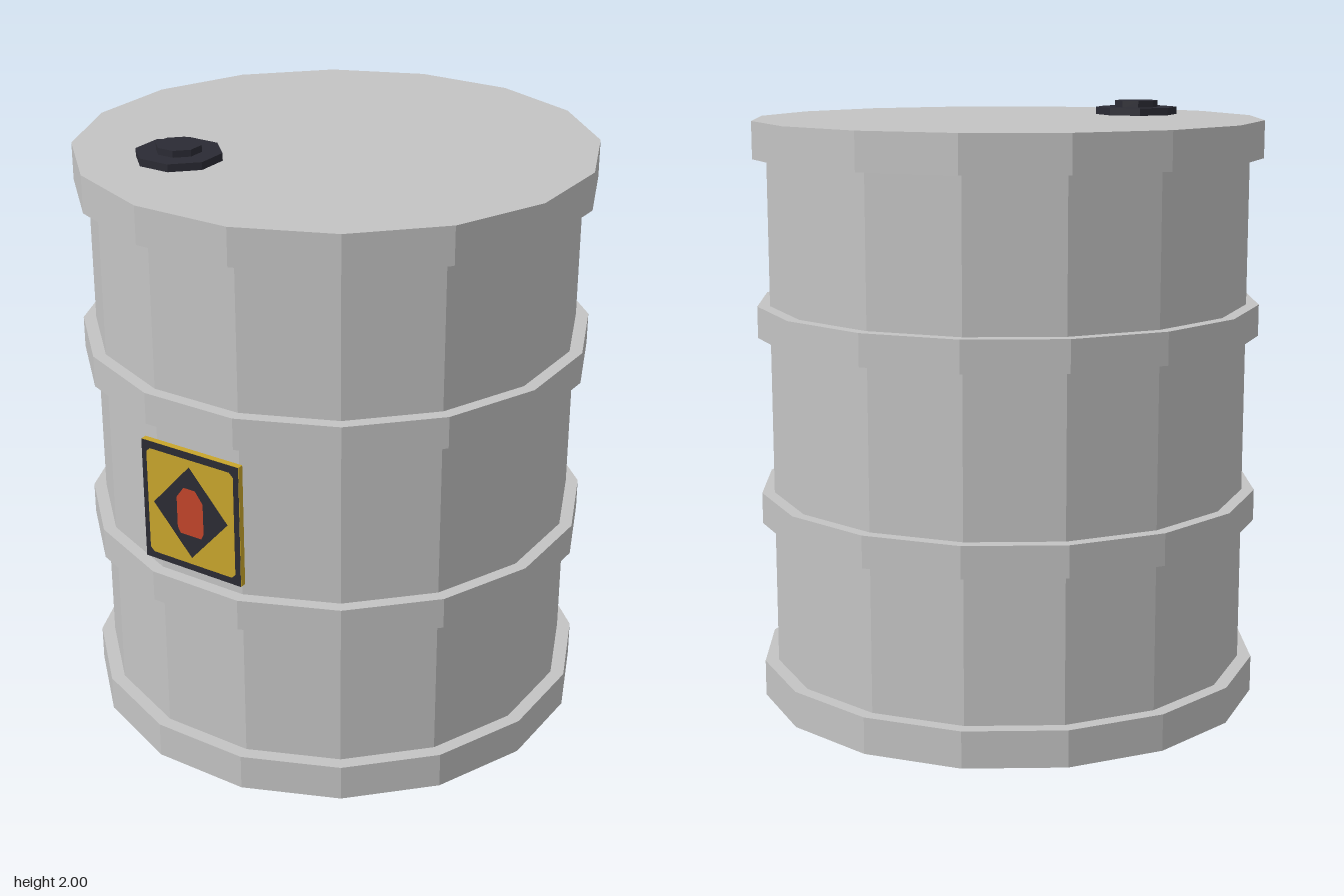
import * as THREE from 'three';

const paint = (name, color) => {
  const m = new THREE.MeshStandardMaterial({ color });
  m.name = name;
  return m;
};

export function createModel() {
  const steel = paint('grey steel', 0xc4c4c4);
  const dark = paint('dark rubber', 0x2b2b34);
  const yellow = paint('label yellow', 0xc9a62c);
  const red = paint('label red', 0xc2452a);
  const group = new THREE.Group();
  group.name = 'drum';

  const add = (name, geometry, material, parent = group) => {
    const mesh = new THREE.Mesh(geometry, material);
    mesh.name = name;
    parent.add(mesh);
    return mesh;
  };

  // Flat-sided prism between two heights, with a flat side facing the front
  const prism = (radius, y0, y1, sides) => {
    const g = new THREE.CylinderGeometry(radius, radius, y1 - y0, sides);
    g.rotateY(Math.PI / sides);
    g.translate(0, (y0 + y1) / 2, 0);
    const flat = g.toNonIndexed();
    flat.computeVertexNormals();
    return flat;
  };

  // Drum shell, end rims and rolling hoops
  add('body', prism(0.804, 0.06, 1.9, 16), steel);
  add('bottomRim', prism(0.85, 0, 0.122, 16), steel);
  add('lowerHoop', prism(0.846, 0.609, 0.714, 16), steel);
  add('upperHoop', prism(0.846, 1.242, 1.347, 16), steel);
  add('topRim', prism(0.85, 1.83, 1.953, 16), steel);

  // Filler cap
  const cap = new THREE.Group();
  cap.name = 'fillerCap';
  cap.position.set(-0.32, 0, 0.412);
  group.add(cap);
  add('capFlange', prism(0.14, 1.95, 1.978, 8), dark, cap);
  add('capKnob', prism(0.074, 1.975, 2, 8), dark, cap);

  // Warning label: a plate with thin painted layers on its front
  const label = new THREE.Group();
  label.name = 'warningLabel';
  label.position.set(0, 0.979, 0);
  group.add(label);
  const plate = add('labelPlate', new THREE.BoxGeometry(0.368, 0.416, 0.02), yellow, label);
  plate.position.z = 0.82;

  const layer = (name, points, material, z) => {
    const shape = new THREE.Shape(points.map(([x, y]) => new THREE.Vector2(x, y)));
    add(name, new THREE.ShapeGeometry(shape), material, label).position.z = z;
  };
  const chamferedRect = (w, h, c) => [
    [-w + c, -h], [w - c, -h], [w, -h + c], [w, h - c],
    [w - c, h], [-w + c, h], [-w, h - c], [-w, -h + c],
  ];
  layer('labelBorder', [[-0.184, -0.208], [0.184, -0.208], [0.184, 0.208], [-0.184, 0.208]], dark, 0.832);
  layer('labelField', chamferedRect(0.165, 0.184, 0.014), yellow, 0.834);
  layer('labelDiamond', [[0, -0.16], [0.142, 0], [0, 0.16], [-0.142, 0]], dark, 0.836);
  layer('labelFlame', [
    [-0.04, -0.08], [0.04, -0.08], [0.05, -0.06], [0.05, 0.045],
    [0.022, 0.084], [-0.022, 0.084], [-0.05, 0.045], [-0.05, -0.06],
  ], red, 0.838);

  return group;
}
